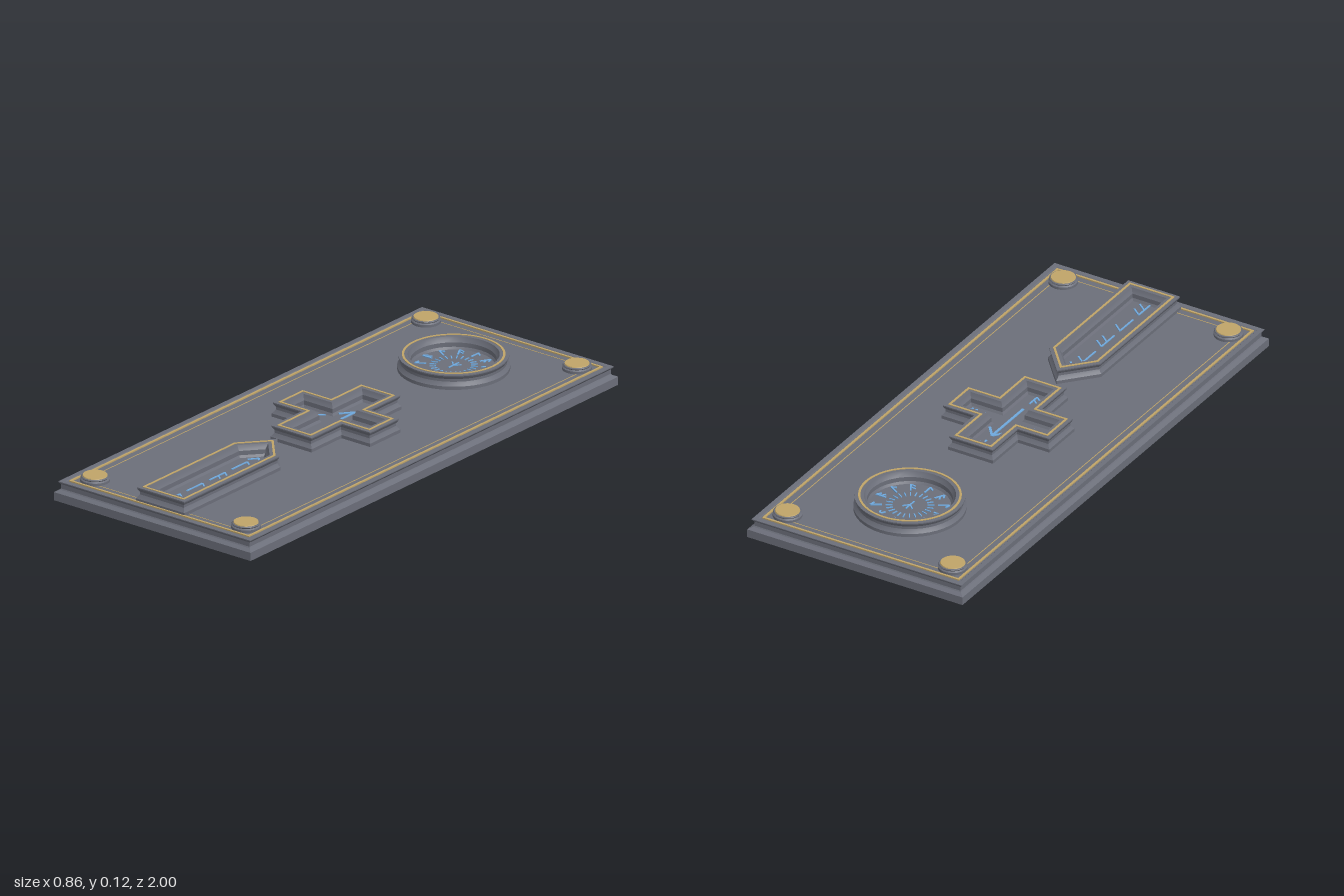
import * as THREE from 'three';
import { toCreasedNormals } from 'three/addons/utils/BufferGeometryUtils.js';

const material = (color, opts = {}) => new THREE.MeshStandardMaterial({ color, ...opts });
const stone = material(0x6b6e79);
const gold = material(0xbfa468);
const blue = material(0x6fa8dc);

function add(parent, name, geometry, mat) {
  const mesh = new THREE.Mesh(geometry, mat);
  mesh.name = name;
  parent.add(mesh);
  return mesh;
}

// Outlines are [x, -z] points, counter-clockwise from above; inset moves every edge inward.
function inset(outline, d) {
  const n = outline.length;
  const normal = (a, b) => {
    const dx = b[0] - a[0], dy = b[1] - a[1], l = Math.hypot(dx, dy);
    return [-dy / l, dx / l];
  };
  return outline.map((p, i) => {
    const a = normal(outline[(i + n - 1) % n], p);
    const b = normal(p, outline[(i + 1) % n]);
    const k = d / (1 + a[0] * b[0] + a[1] * b[1]);
    return [p[0] + k * (a[0] + b[0]), p[1] + k * (a[1] + b[1])];
  });
}

// Sweeps a moulding profile of [inset, height] pairs round an outline.
function moulding(outline, profile) {
  const rings = profile.map(([d, y]) => inset(outline, d).map(([x, s]) => [x, y, -s]));
  const pos = [], n = outline.length;
  for (let r = 0; r < rings.length - 1; r++) {
    for (let i = 0; i < n; i++) {
      const j = (i + 1) % n, lo = rings[r], hi = rings[r + 1];
      pos.push(...lo[i], ...lo[j], ...hi[j], ...lo[i], ...hi[j], ...hi[i]);
    }
  }
  const g = new THREE.BufferGeometry();
  g.setAttribute('position', new THREE.Float32BufferAttribute(pos, 3));
  return toCreasedNormals(g, 0.35);
}

// Flat face filling an outline at height y.
function cap(outline, d, y, down = false) {
  const shape = new THREE.Shape(inset(outline, d).map(([x, s]) => new THREE.Vector2(x, s)));
  return new THREE.ShapeGeometry(shape).rotateX(down ? Math.PI / 2 : -Math.PI / 2).translate(0, y, 0);
}

const strip = (d, w, y0, y1) => [[d, y0], [d, y1], [d + w, y1], [d + w, y0]];

const FIELD = 0.066, FLOOR = 0.076, TOP = 0.118;

// Raised hollow frame with a necked outer wall, gold inlay and sunken floor.
function raisedFrame(name, outline) {
  const g = new THREE.Group();
  g.name = name;
  add(g, name + 'Wall', moulding(outline, [
    [0, FIELD], [0, 0.078], [0.006, 0.085], [0.010, 0.092], [0.010, 0.102], [0.006, 0.108],
    [0.003, 0.114], [0.003, TOP], [0.036, TOP], [0.040, 0.108], [0.046, 0.100], [0.046, 0.084], [0.052, FLOOR],
  ]), stone);
  add(g, name + 'Floor', cap(outline, 0.052, FLOOR), stone);
  add(g, name + 'Inlay', moulding(outline, strip(0.016, 0.008, TOP - 0.002, 0.12)), gold);
  return g;
}

// Thin inlaid bar between two points on a sunken floor.
function stroke(parent, x1, z1, x2, z2, w = 0.007) {
  const bar = add(parent, 'inlayStroke',
    new THREE.BoxGeometry(Math.hypot(x2 - x1, z2 - z1), 0.003, w), blue);
  bar.position.set((x1 + x2) / 2, FLOOR + 0.0015, (z1 + z2) / 2);
  bar.rotation.y = -Math.atan2(z2 - z1, x2 - x1);
}

// Abstract notch ornament: an upright bar with slanting branches.
function notch(parent, x, z, size, angle, branches) {
  const g = new THREE.Group();
  g.name = 'notchOrnament';
  const h = size / 2;
  stroke(g, 0, -h, 0, h, 0.006);
  for (let i = 0; i < branches; i++) {
    const z0 = -h + i * size * 0.42;
    stroke(g, 0, z0, h * 0.8, z0 + size * 0.32, 0.006);
  }
  g.position.set(x, 0, z);
  g.rotation.y = angle;
  parent.add(g);
}

export function createModel() {
  const model = new THREE.Group();
  model.name = 'ornamentalSlab';

  // Stepped slab with a flared lip
  const rect = [[-0.43, -1], [0.43, -1], [0.43, 1], [-0.43, 1]];
  add(model, 'slabEdge', moulding(rect, [
    [0, 0], [0, 0.03], [0.015, 0.038], [0.018, 0.042], [0.018, 0.058],
    [0.011, 0.066], [0.011, 0.069], [0.028, 0.069], [0.031, FIELD],
  ]), stone);
  add(model, 'slabTop', cap(rect, 0.031, FIELD), stone);
  add(model, 'slabUnderside', cap(rect, 0, 0, true), stone);
  add(model, 'goldBorder', moulding(rect, strip(0.037, 0.008, FIELD, 0.0705)), gold);
  add(model, 'goldInnerLine', moulding(rect, strip(0.069, 0.003, FIELD, 0.0668)), gold);

  // Corner studs
  for (const x of [-0.33, 0.33]) {
    for (const z of [-0.9, 0.9]) {
      const stud = new THREE.Group();
      stud.name = 'cornerStud';
      const profile = [[0.051, FIELD], [0.051, 0.075], [0.046, 0.079], [0.049, 0.083], [0.047, 0.086], [0, 0.086]];
      const body = new THREE.LatheGeometry(profile.map(([r, y]) => new THREE.Vector2(r, y)), 32);
      add(stud, 'studBody', toCreasedNormals(body, 0.35), stone);
      add(stud, 'studCap', new THREE.CylinderGeometry(0.042, 0.044, 0.004, 32), gold).position.y = 0.087;
      stud.position.set(x, 0, z);
      model.add(stud);
    }
  }

  // Round basin with a ring of rays and notches
  const circle = Array.from({ length: 48 }, (_, i) => {
    const a = (i / 48) * Math.PI * 2;
    return [0.193 * Math.cos(a), 0.193 * Math.sin(a)];
  });
  const round = raisedFrame('roundFrame', circle);
  for (let i = 0; i < 24; i++) {
    const a = (i / 24) * Math.PI * 2, c = Math.cos(a), s = Math.sin(a);
    stroke(round, 0.06 * c, 0.06 * s, 0.083 * c, 0.083 * s, 0.004);
  }
  for (let i = 0; i < 12; i++) {
    const a = (i / 12) * Math.PI * 2;
    notch(round, 0.115 * Math.sin(a), -0.115 * Math.cos(a), 0.04, -a, 1 + (i % 2));
  }
  stroke(round, 0, -0.028, 0, 0.028, 0.005);
  for (const s of [-1, 1]) stroke(round, 0, 0.002, s * 0.02, -0.018, 0.005);
  round.position.z = -0.64;
  model.add(round);

  // Cross-shaped basin with an arrow
  const cross = raisedFrame('crossFrame', [
    [-0.09, -0.245], [0.09, -0.245], [0.09, -0.082], [0.215, -0.082], [0.215, 0.082], [0.09, 0.082],
    [0.09, 0.245], [-0.09, 0.245], [-0.09, 0.082], [-0.215, 0.082], [-0.215, -0.082], [-0.09, -0.082],
  ]);
  stroke(cross, 0, -0.105, 0, 0.1, 0.009);
  for (const s of [-1, 1]) {
    stroke(cross, 0, -0.105, s * 0.036, -0.06, 0.009);
    stroke(cross, s * 0.065, -0.025, s * 0.1, 0.01);
    notch(cross, s * 0.14, 0, 0.04, -s * Math.PI / 2, 2);
    notch(cross, 0, s * 0.165, 0.05, s > 0 ? Math.PI : 0, 2);
  }
  model.add(cross);

  // Pointed basin with a column of notches
  const pointed = raisedFrame('pointedFrame', [
    [-0.106, -0.957], [0.106, -0.957], [0.106, -0.435], [0, -0.315], [-0.106, -0.435],
  ]);
  for (let i = 0; i < 4; i++) notch(pointed, -0.012, 0.51 + i * 0.122, 0.085, 0, 1 + (i % 2));
  for (const s of [-1, 1]) stroke(pointed, 0, 0.418, s * 0.025, 0.45);
  model.add(pointed);

  return model;
}
